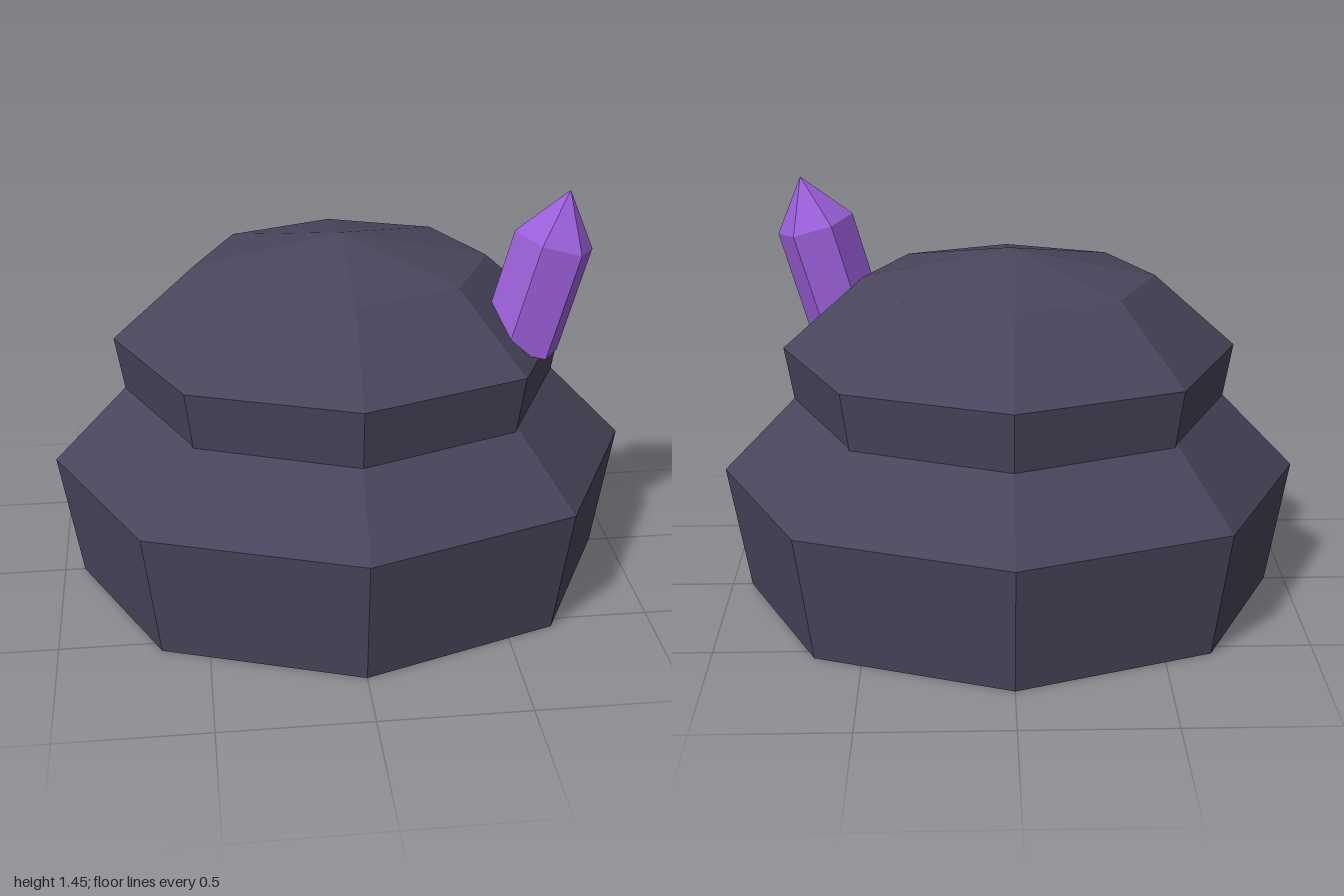
import * as THREE from 'three';

const rock = new THREE.MeshStandardMaterial({ color: 0x4a455c });
rock.name = 'darkRock';
const violet = new THREE.MeshStandardMaterial({ color: 0x9b5fd9 });
violet.name = 'violetCrystal';

// Faceted solid turned from a closed [radius, height] profile, bottom to top
function facetedSolid(name, profile, sides, material) {
  const points = profile.map(([r, y]) => new THREE.Vector2(r, y));
  const geometry = new THREE.LatheGeometry(points, sides).toNonIndexed();
  geometry.computeVertexNormals();
  const mesh = new THREE.Mesh(geometry, material);
  mesh.name = name;
  return mesh;
}

export function createModel() {
  const model = new THREE.Group();
  model.name = 'crystalRock';

  // Wide lower boulder, oval in plan
  const lower = facetedSolid('lowerBoulder',
    [[0, 0], [0.93, 0], [1, 0.45], [0.64, 0.825], [0, 0.97]], 8, rock);
  lower.scale.z = 0.83;

  // Smaller boulder sunk into the lower one
  const upper = facetedSolid('upperBoulder',
    [[0, 0.56], [0.72, 0.56], [0.775, 0.9], [0.495, 1.15], [0, 1.25]], 8, rock);
  upper.scale.z = 0.857;

  // Six-sided crystal leaning outwards, origin at its shoulder
  const crystal = facetedSolid('crystal',
    [[0, -0.37], [0.135, -0.37], [0.135, 0], [0, 0.172]], 6, violet);
  crystal.geometry.rotateY(Math.PI / 2);
  crystal.position.set(0.67, 1.28, 0.228);
  crystal.rotation.z = -0.27;

  model.add(lower, upper, crystal);
  return model;
}
